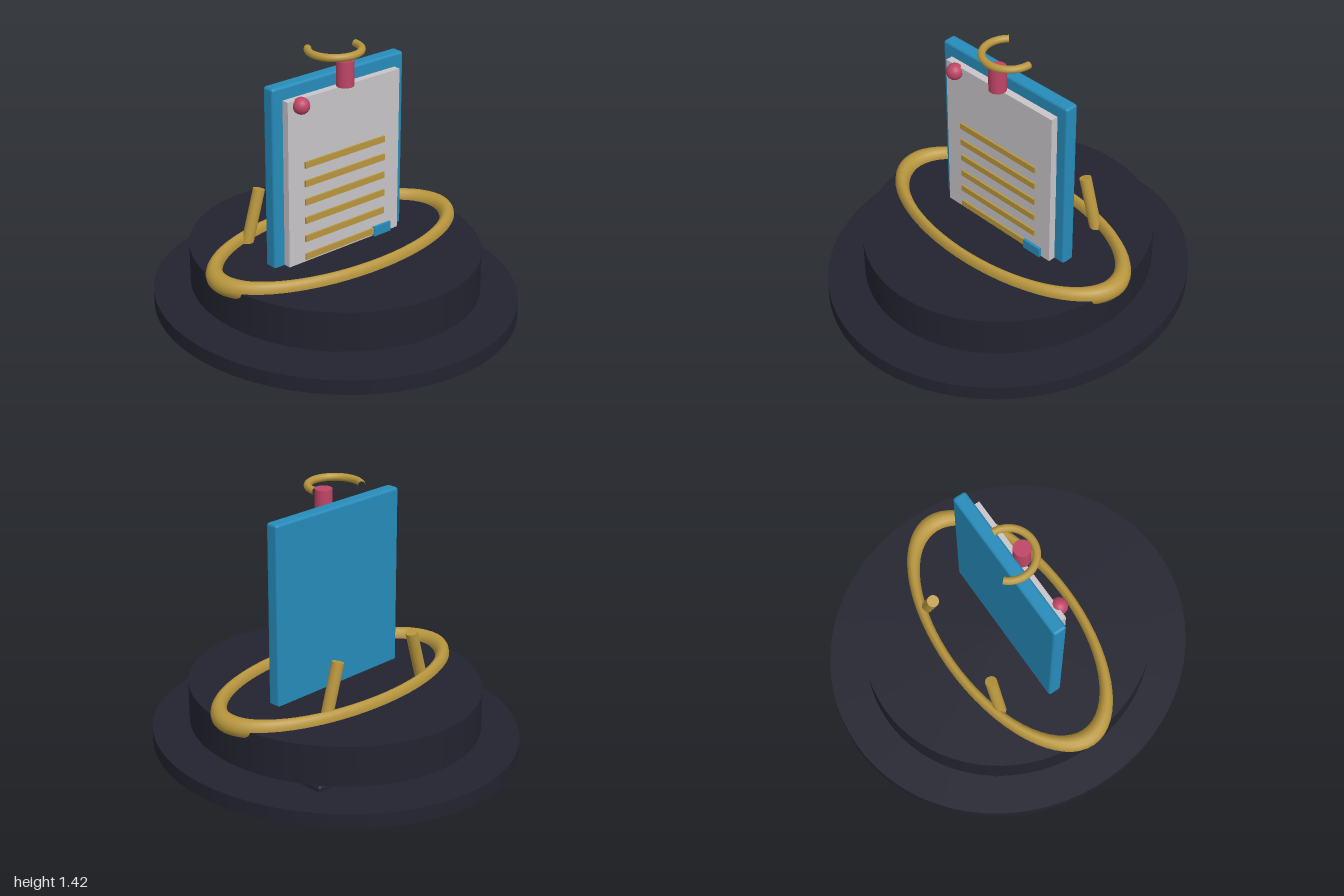
import * as THREE from 'three';
import { RoundedBoxGeometry } from 'three/addons/geometries/RoundedBoxGeometry.js';

const material = (name, color) => {
  const m = new THREE.MeshStandardMaterial({ color });
  m.name = name;
  return m;
};

export function createModel() {
  const dark = material('charcoal', 0x232330);
  const gold = material('gold', 0xb8963e);
  const blue = material('blue', 0x268bba);
  const paper = material('paper grey', 0xc8c4c8);
  const pink = material('raspberry', 0xbf4566);

  const model = new THREE.Group();
  model.name = 'boardStand';

  const add = (name, geometry, mat, x = 0, y = 0, z = 0) => {
    const mesh = new THREE.Mesh(geometry, mat);
    mesh.name = name;
    mesh.position.set(x, y, z);
    model.add(mesh);
    return mesh;
  };

  // Two slightly oval discs, the upper one floating just above the base
  const disc = (name, rx, rz, y0, y1) =>
    add(name, new THREE.CylinderGeometry(1, 1, y1 - y0, 72).scale(rx, 1, rz), dark, 0, (y0 + y1) / 2, 0);
  disc('baseDisc', 0.93, 1, 0, 0.08);
  disc('upperDisc', 0.74, 0.793, 0.12, 0.335);

  // Flattened oval ring lying on the upper disc
  add('ovalRing', new THREE.TorusGeometry(0.735, 0.05, 14, 64).rotateX(Math.PI / 2).scale(1, 1, 0.5),
    gold, 0, 0.335, 0);

  // Upright board with its sheet
  add('board', new RoundedBoxGeometry(0.86, 1.185, 0.075, 2, 0.015), blue, 0, 0.7075, 0.0025);
  add('sheet', new THREE.BoxGeometry(0.735, 1.04, 0.04), paper, 0, 0.71, 0.06);

  // Ruled bars on the sheet
  for (let i = 0; i < 6; i++) {
    add('ruledBar', new THREE.BoxGeometry(0.53, 0.034, 0.016), gold, 0, 0.872 - i * 0.1015, 0.082);
  }
  add('cornerTab', new THREE.BoxGeometry(0.115, 0.085, 0.02), blue, 0.252, 0.345, 0.085);

  // Pin, clip post and open loop at the top
  add('pin', new THREE.SphereGeometry(0.044, 24, 16), pink, -0.293, 1.2, 0.093);
  add('clipPost', new THREE.CylinderGeometry(0.046, 0.046, 0.135, 24), pink, 0, 1.2975, 0.08);
  add('openLoop', new THREE.TorusGeometry(0.135, 0.02, 10, 40, Math.PI * 1.25).rotateX(Math.PI / 2),
    gold, 0, 1.4, 0);

  // Leaning rear props and their foot pads
  for (const side of [-1, 1]) {
    const prop = add('rearProp', new THREE.CylinderGeometry(0.032, 0.032, 0.54, 16),
      gold, side * 0.342, 0.355, -0.293);
    prop.rotation.z = side * 0.285;
    add('footPad', new RoundedBoxGeometry(0.28, 0.05, 0.155, 2, 0.014), dark, side * 0.445, 0.085, -0.41);
  }

  return model;
}
